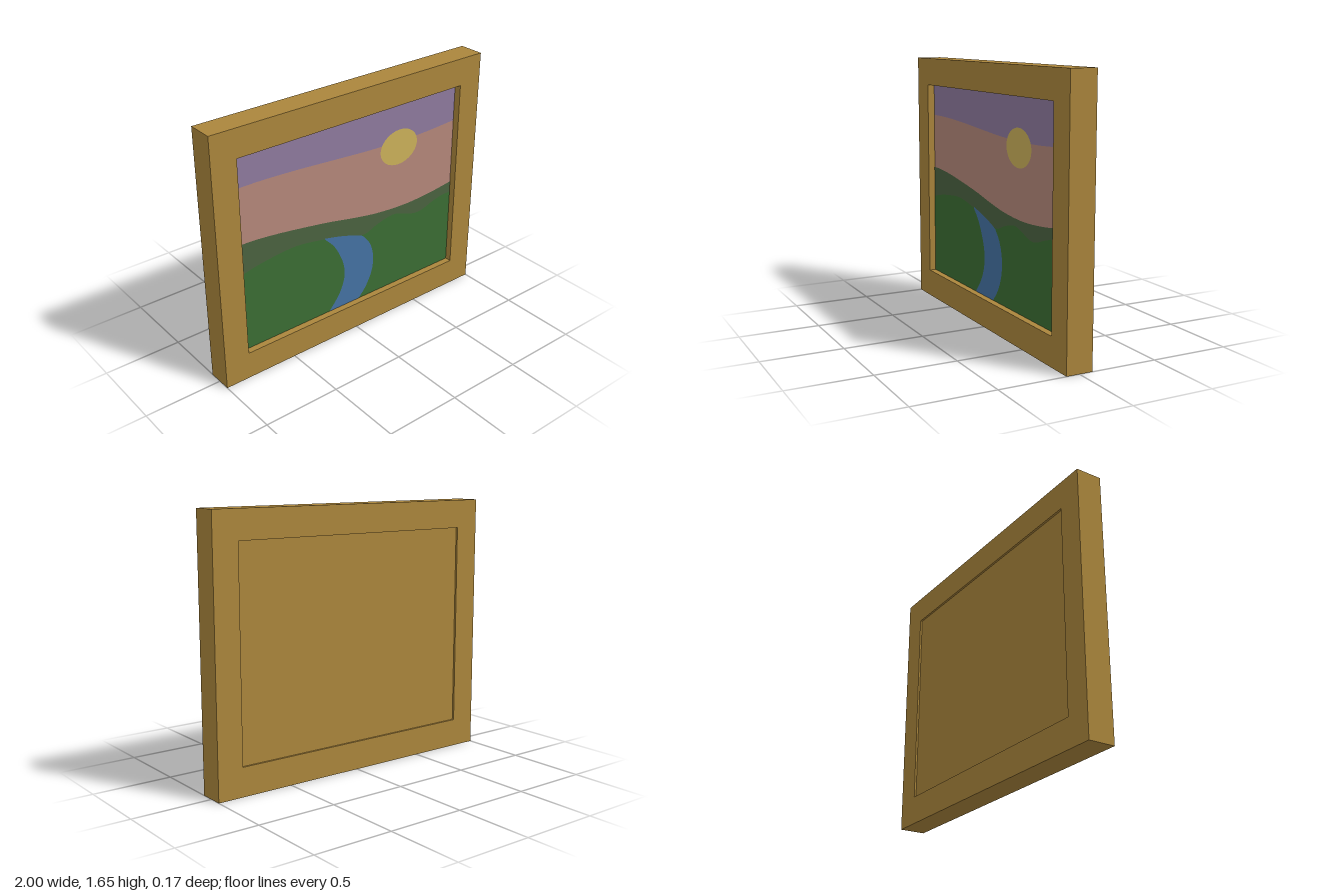
import * as THREE from 'three';

const material = (name, color) => {
  const m = new THREE.MeshStandardMaterial({ color });
  m.name = name;
  return m;
};

// Overall sizes
const H = 1.655, D = 0.166;
const L = -0.835, R = 0.835, B = 0.18, T = 1.476;
const PANEL_BACK = -0.07, PANEL_FRONT = 0.036, STEP = 0.0008;

const rectangle = (Type, x0, y0, x1, y1) => new Type([
  new THREE.Vector2(x0, y0), new THREE.Vector2(x1, y0),
  new THREE.Vector2(x1, y1), new THREE.Vector2(x0, y1),
]);

// Smooth line through a few [x, y] points
const smooth = (points) =>
  new THREE.SplineCurve(points.map(([x, y]) => new THREE.Vector2(x, y))).getPoints(48);

// Area from a horizon line down to the bottom of the painting
const landBelow = (points) => new THREE.Shape([
  new THREE.Vector2(L, B), new THREE.Vector2(R, B), ...smooth(points).reverse(),
]);

export function createModel() {
  const group = new THREE.Group();
  const gold = material('gold wood', 0xab863c);

  const add = (name, geometry, mat, z) => {
    const mesh = new THREE.Mesh(geometry, mat);
    mesh.name = name;
    mesh.position.z = z;
    group.add(mesh);
    return mesh;
  };

  // Square-edged frame with an opening
  const outline = rectangle(THREE.Shape, -1, 0, 1, H);
  outline.holes.push(rectangle(THREE.Path, L, B, R, T));
  add('frame', new THREE.ExtrudeGeometry(outline, { depth: D, bevelEnabled: false }), gold, -D / 2);

  // Panel set back from both faces of the frame
  const panel = add('panel',
    new THREE.BoxGeometry(R - L, T - B, PANEL_FRONT - PANEL_BACK), gold,
    (PANEL_FRONT + PANEL_BACK) / 2);
  panel.position.y = (T + B) / 2;

  // Painted areas, from the farthest to the nearest
  const sky = rectangle(THREE.Shape, L, B, R, T);

  const glow = landBelow([[L, 1.27], [-0.65, 1.269], [-0.4, 1.257], [-0.1, 1.235],
    [0.15, 1.218], [0.4, 1.211], [0.6, 1.212], [R, 1.225]]);

  const sun = new THREE.Shape();
  sun.absellipse(0.37, 1.172, 0.15, 0.118, 0, Math.PI * 2);

  const hills = landBelow([[L, 0.91], [-0.7, 0.905], [-0.5, 0.882], [-0.2, 0.835],
    [0, 0.795], [0.2, 0.762], [0.43, 0.747], [0.65, 0.758], [R, 0.782]]);

  const meadow = landBelow([[L, 0.706], [-0.7, 0.735], [-0.5, 0.757], [-0.38, 0.753],
    [-0.22, 0.725], [-0.1, 0.7], [0, 0.665], [0.1, 0.645], [0.2, 0.68], [0.32, 0.705],
    [0.4, 0.69], [0.5, 0.655], [0.58, 0.653], [0.68, 0.685], [0.76, 0.703], [R, 0.705]]);

  const river = new THREE.Shape([
    ...smooth([[0.05, B], [0.11, 0.25], [0.155, 0.34], [0.17, 0.43], [0.16, 0.51], [0.13, 0.58], [0.08, 0.64]]),
    ...smooth([[0.05, 0.653], [-0.04, 0.685], [-0.13, 0.71], [-0.22, 0.73]]),
    ...smooth([[-0.21, 0.715], [-0.15, 0.65], [-0.1, 0.56], [-0.07, 0.47], [-0.07, 0.38], [-0.11, 0.28], [-0.19, B]]),
  ]);

  [
    ['sky', sky, 0x8e7a9e],
    ['glow', glow, 0xb4877a],
    ['sun', sun, 0xcbb15a],
    ['hills', hills, 0x4a6240],
    ['meadow', meadow, 0x3b6d33],
    ['river', river, 0x4472a2],
  ].forEach(([name, shape, color], i) =>
    add(name, new THREE.ShapeGeometry(shape, 32), material(name + ' paint', color),
      PANEL_FRONT + STEP * (i + 1)));

  return group;
}
